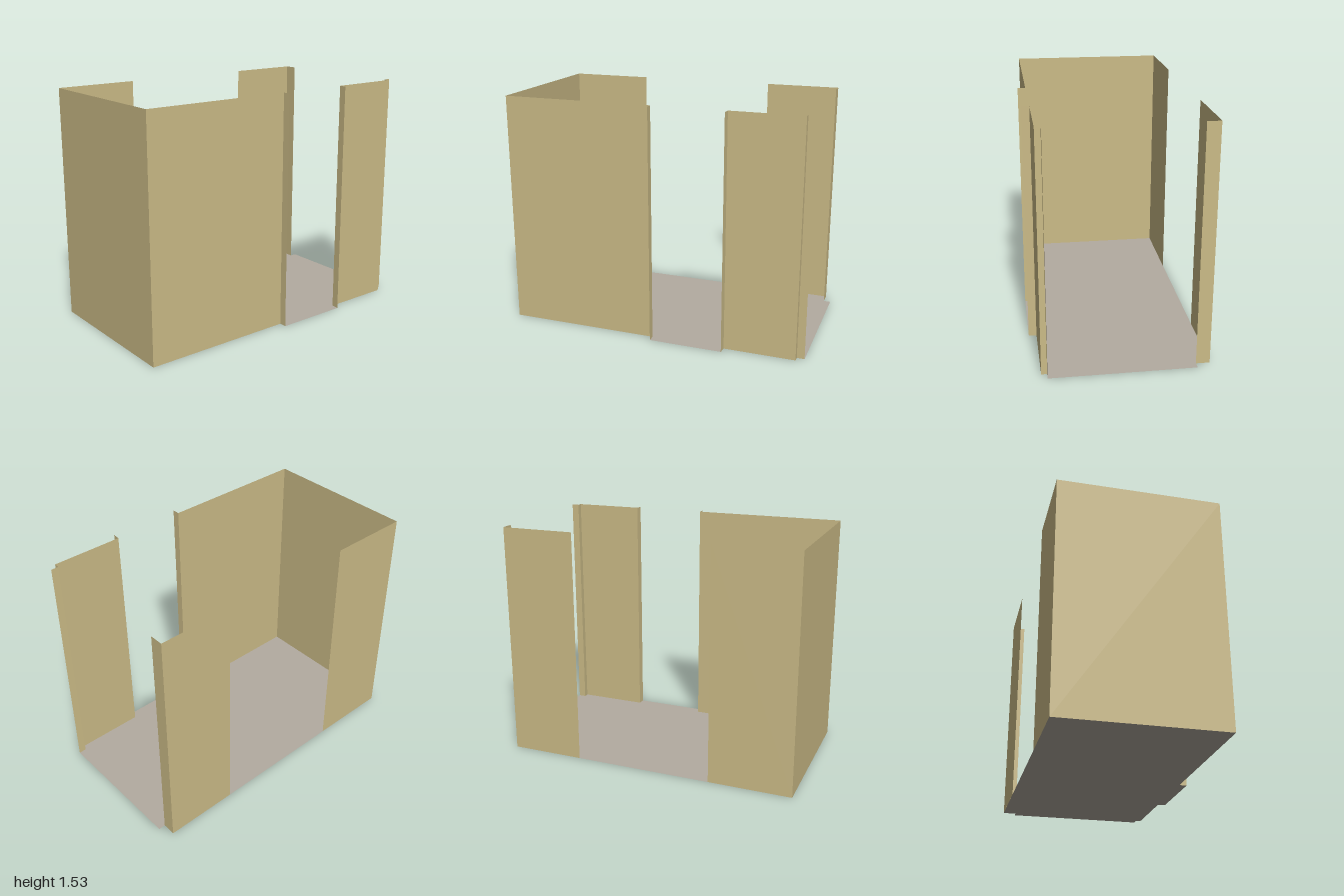
import * as THREE from 'three';

const HEIGHT = 1.53;

// Floor outline as [x, z], running around the room from the front right corner
const OUTLINE = [
  [-0.55, 0.985], [0.483, 1.0], [0.493, 0.008], [0.542, 0.008],
  [0.547, -0.473], [0.497, -0.477], [0.502, -0.94], [0.466, -0.941],
  [0.467, -0.99], [-0.445, -1.0], [-0.445, -0.955], [-0.531, -0.956],
];

// Upright sheets that follow connected [x, z] points; the gaps between them are openings
const WALLS = {
  frontWall: [[-0.55, 0.985], [0.483, 1.0]],
  leftFrontWall: [[0.483, 1.0], [0.493, 0.008], [0.542, 0.008]],
  leftBackWall: [[0.547, -0.473], [0.497, -0.477], [0.502, -0.94], [0.466, -0.941], [0.467, -0.99]],
  rightFrontWall: [[-0.55, 0.985], [-0.544, 0.44]],
  rightBackWall: [[-0.536, -0.47], [-0.531, -0.956], [-0.445, -0.955]],
};

export function createModel() {
  const wallMaterial = new THREE.MeshStandardMaterial({ color: 0xcbbb87, side: THREE.DoubleSide });
  wallMaterial.name = 'sand wall';
  const floorMaterial = new THREE.MeshStandardMaterial({ color: 0xb3aba0, side: THREE.DoubleSide });
  floorMaterial.name = 'warm grey floor';

  const room = new THREE.Group();
  room.name = 'room';

  // Floor: the outline is drawn in x and -z, then laid flat facing up
  const shape = new THREE.Shape(OUTLINE.map(([x, z]) => new THREE.Vector2(x, -z)));
  const floor = new THREE.Mesh(new THREE.ShapeGeometry(shape).rotateX(-Math.PI / 2), floorMaterial);
  floor.name = 'floor';
  room.add(floor);

  // Walls: one thin panel for each straight stretch
  for (const [name, points] of Object.entries(WALLS)) {
    const wall = new THREE.Group();
    wall.name = name;
    for (let i = 0; i < points.length - 1; i++) {
      const [x0, z0] = points[i];
      const [x1, z1] = points[i + 1];
      const panel = new THREE.Mesh(
        new THREE.PlaneGeometry(Math.hypot(x1 - x0, z1 - z0), HEIGHT), wallMaterial);
      panel.name = 'wallPanel';
      panel.position.set((x0 + x1) / 2, HEIGHT / 2, (z0 + z1) / 2);
      panel.rotation.y = Math.atan2(z0 - z1, x1 - x0);
      wall.add(panel);
    }
    room.add(wall);
  }
  return room;
}
